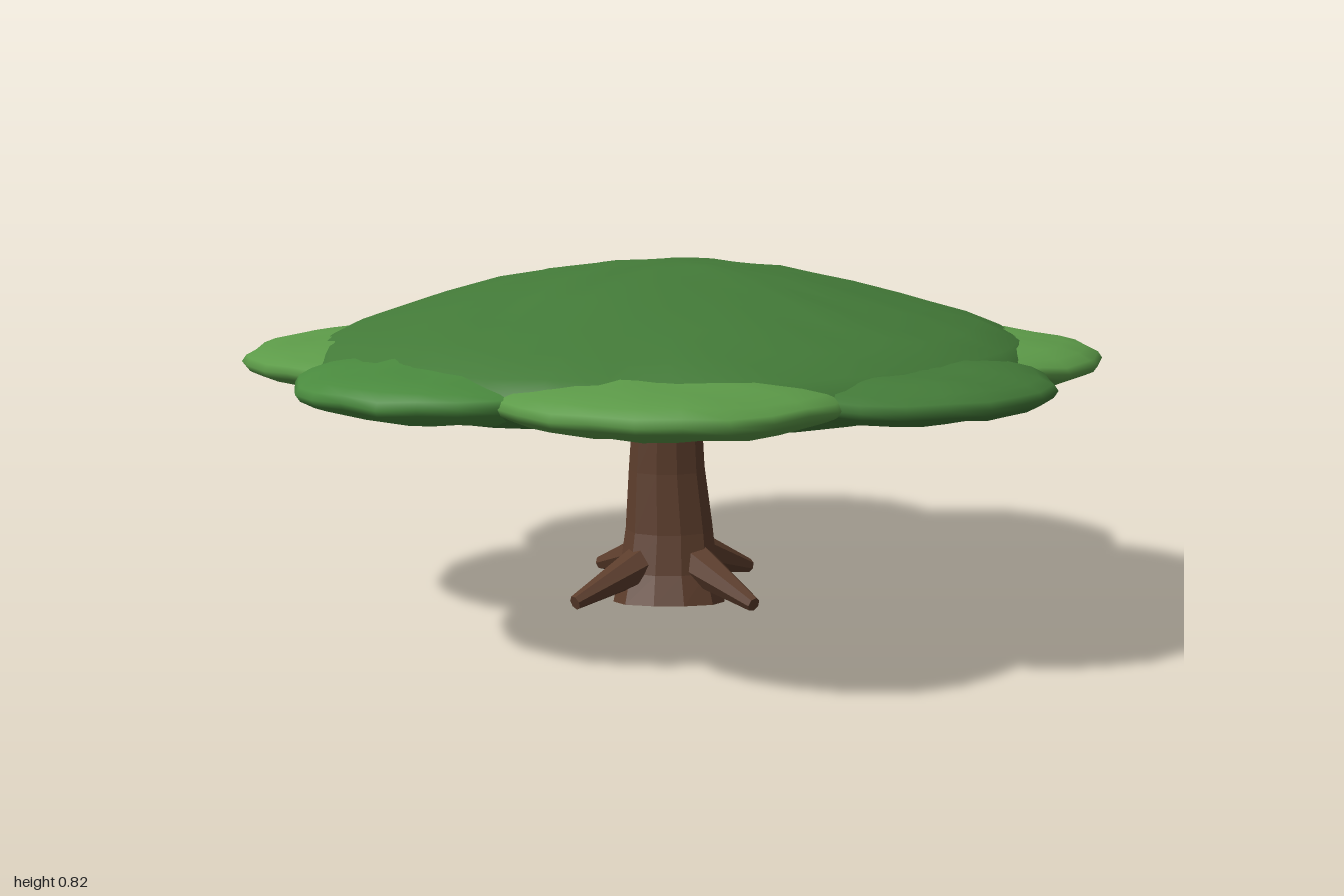
import * as THREE from 'three';
import { mergeVertices } from 'three/addons/utils/BufferGeometryUtils.js';

const bark = new THREE.MeshStandardMaterial({ color: 0x5c3d2c, flatShading: true });
const darkLeaf = new THREE.MeshStandardMaterial({ color: 0x437a38 });
const midLeaf = new THREE.MeshStandardMaterial({ color: 0x4a8a3e });
const lightLeaf = new THREE.MeshStandardMaterial({ color: 0x5c9a48 });

function part(name, geometry, material) {
  const mesh = new THREE.Mesh(geometry, material);
  mesh.name = name;
  return mesh;
}

// Small uneven bumps that depend only on position, so seams stay closed
function roughen(geometry, amount) {
  geometry.deleteAttribute('uv');
  geometry.deleteAttribute('normal');
  const g = mergeVertices(geometry, 1e-4);
  const p = g.attributes.position;
  for (let i = 0; i < p.count; i++) {
    const x = p.getX(i), y = p.getY(i), z = p.getZ(i);
    const n = Math.sin(23 * x + 9 * z + 2) * Math.sin(19 * z - 11 * x) + 0.6 * Math.sin(47 * x + 31 * z);
    const m = Math.sin(29 * z + 13 * x);
    p.setXYZ(i, x * (1 + amount * m), y + amount * 0.7 * n, z * (1 + amount * m));
  }
  g.computeVertexNormals();
  return g;
}

// Broad lens-shaped middle of the canopy
function crown() {
  const profile = [
    [0, 0.508], [0.2, 0.512], [0.42, 0.522], [0.62, 0.537], [0.78, 0.56], [0.84, 0.595],
    [0.83, 0.625], [0.79, 0.66], [0.7, 0.697], [0.57, 0.735], [0.43, 0.773], [0.29, 0.803], [0.14, 0.823], [0, 0.828],
  ].map(([r, y]) => new THREE.Vector2(r, y));
  return part('crown', roughen(new THREE.LatheGeometry(profile, 40), 0.007), darkLeaf);
}

// Flattened ball forming one scallop of the canopy edge
function lobe(index) {
  const angle = index * Math.PI / 4;
  const alongZ = index % 4 === 2;
  const radius = alongZ ? 0.365 : 0.378;
  const g = new THREE.SphereGeometry(1, 26, 14);
  g.scale(radius, 0.064, radius);
  g.translate(Math.cos(angle) * 0.612, 0.606, Math.sin(angle) * 0.612);
  const material = index === 0 || index === 6 ? darkLeaf : index === 2 ? midLeaf : lightLeaf;
  return part('canopyLobe', roughen(g, 0.006), material);
}

// Gently bent, fluted trunk with a slanted foot
function trunk() {
  const rings = [
    [0.01, 0.02, 0.138, 0.025], [-0.002, 0.01, 0.12, 0.11], [-0.01, 0, 0.108, 0.2],
    [-0.018, 0, 0.094, 0.34], [-0.017, 0, 0.086, 0.46], [-0.015, 0, 0.086, 0.58],
  ];
  const g = new THREE.CylinderGeometry(1, 1, 5, 12, 5);
  const p = g.attributes.position;
  for (let i = 0; i < p.count; i++) {
    const level = Math.round(p.getY(i) + 2.5);
    const [cx, cz, r, y] = rings[level];
    const flute = 1 + 0.04 * Math.cos(4 * Math.atan2(p.getZ(i), p.getX(i)));
    const x = cx + p.getX(i) * r * flute;
    const z = cz + p.getZ(i) * r * flute;
    const slant = level === 0 ? 0.1 * x + 0.1 * z : 0;
    p.setXYZ(i, x, y + slant, z);
  }
  g.computeVertexNormals();
  return part('trunk', g, bark);
}

// Tapered stub root running out and down from the trunk
function root(angle, reach) {
  const dir = new THREE.Vector3(Math.cos(angle), 0, Math.sin(angle));
  const start = dir.clone().multiplyScalar(0.06).setY(0.135);
  const end = dir.clone().multiplyScalar(reach).setY(0.066);
  const g = new THREE.CylinderGeometry(0.017, 0.052, start.distanceTo(end), 7);
  const mesh = part('root', g, bark);
  mesh.position.copy(start).lerp(end, 0.5);
  mesh.quaternion.setFromUnitVectors(new THREE.Vector3(0, 1, 0), end.sub(start).normalize());
  return mesh;
}

export function createModel() {
  const tree = new THREE.Group();
  tree.name = 'tree';

  const canopy = new THREE.Group();
  canopy.name = 'canopy';
  canopy.add(crown());
  for (let i = 0; i < 8; i++) canopy.add(lobe(i));

  const roots = new THREE.Group();
  roots.name = 'roots';
  [0.28, 0.295, 0.265, 0.25].forEach((reach, i) => roots.add(root(i * Math.PI / 2 + 0.06, reach)));

  tree.add(canopy, trunk(), roots);
  return tree;
}
